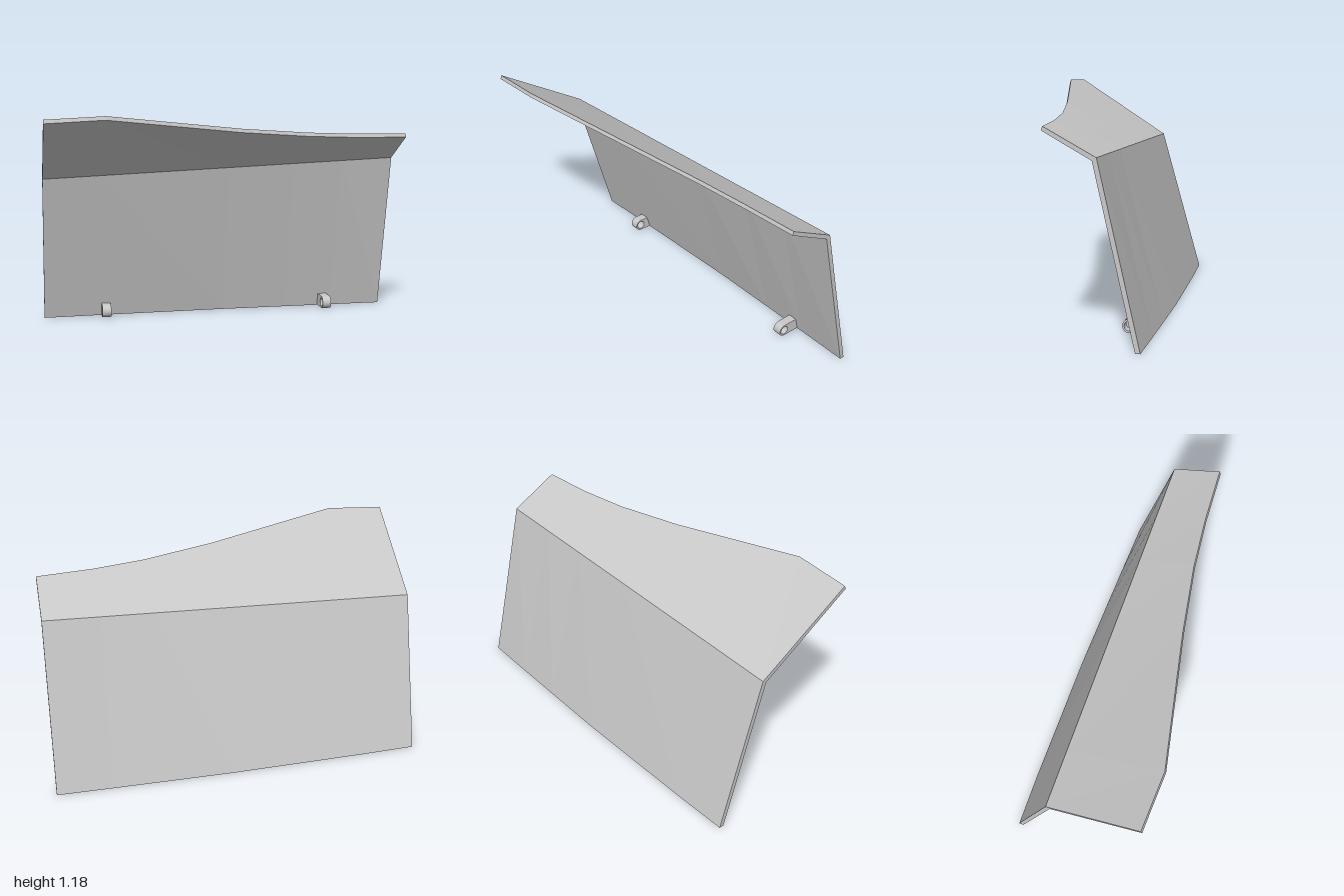
import * as THREE from 'three';

const panelGray = new THREE.MeshStandardMaterial({ color: 0xc8c8c8 });
panelGray.name = 'panelGray';

const lerp = THREE.MathUtils.lerp;

// Stations along the panel: x, rear bottom z, tip z, tip y
const stations = [
  [-1, -0.355, 0.4, 1.167],
  [-0.69, -0.372, 0.4, 1.182],
  [0.04, -0.4, 0.213, 1.1],
  [0.42, -0.405, 0.13, 1.07],
  [0.7, -0.408, 0.088, 1.058],
  [1, -0.41, 0.058, 1.054],
];

// Bent cross-section, from the rear bottom over the tip to the inner bottom
function section([x, bottomZ, tipZ, tipY]) {
  const t = (x + 1) / 2;
  const bendY = lerp(0.835, 0.915, t), bendZ = lerp(-0.118, -0.2, t);
  return [
    [0, bottomZ], [bendY, bendZ], [tipY, tipZ],
    [tipY - 0.02, tipZ + 0.007], [bendY - 0.015, bendZ + 0.022], [0, bottomZ + 0.025],
  ].map(([y, z]) => [x, y, z]);
}

// Flat-shaded skin through all sections, closed at both ends
function bentPanel() {
  const rings = stations.map(section);
  const out = [];
  const quad = (a, b, c, d) => out.push(...a, ...b, ...c, ...a, ...c, ...d);
  for (let s = 0; s < rings.length - 1; s++) {
    const p = rings[s], q = rings[s + 1];
    for (let i = 0; i < 6; i++) {
      const j = (i + 1) % 6;
      quad(p[i], p[j], q[j], q[i]);
    }
  }
  const l = rings[0], r = rings[rings.length - 1];
  quad(r[0], r[1], r[4], r[5]);
  quad(r[1], r[2], r[3], r[4]);
  quad(l[5], l[4], l[1], l[0]);
  quad(l[4], l[3], l[2], l[1]);
  const geo = new THREE.BufferGeometry();
  geo.setAttribute('position', new THREE.Float32BufferAttribute(out, 3));
  geo.computeVertexNormals();
  return geo;
}

// Round-ended lug with a pin hole; its sloped back sinks into the panel
function lug(x, backZ) {
  const cy = 0.038, cz = -0.28, r = 0.035, width = 0.05;
  const shape = new THREE.Shape();
  shape.moveTo(backZ, cy - r);
  shape.lineTo(backZ + 0.016, cy + r);
  shape.lineTo(cz, cy + r);
  shape.absarc(cz, cy, r, Math.PI / 2, -Math.PI / 2, true);
  // The rounded end bulges toward the front
  const outline = new THREE.Shape();
  outline.moveTo(backZ, cy - r);
  outline.lineTo(cz, cy - r);
  outline.absarc(cz, cy, r, -Math.PI / 2, Math.PI / 2, false);
  outline.lineTo(backZ + 0.016, cy + r);
  outline.closePath();
  const hole = new THREE.Path();
  hole.absarc(cz, cy, 0.025, 0, Math.PI * 2, true);
  outline.holes.push(hole);
  const geo = new THREE.ExtrudeGeometry(outline, { depth: width, bevelEnabled: false, curveSegments: 16 });
  geo.rotateY(-Math.PI / 2);
  geo.translate(x + width / 2, 0, 0);
  return geo;
}

export function createModel() {
  const model = new THREE.Group();
  model.name = 'hingedPanel';
  const add = (name, geo) => {
    const mesh = new THREE.Mesh(geo, panelGray);
    mesh.name = name;
    model.add(mesh);
  };
  add('bentPanel', bentPanel());
  add('rightHingeLug', lug(-0.65, -0.362));
  add('leftHingeLug', lug(0.645, -0.395));
  return model;
}
